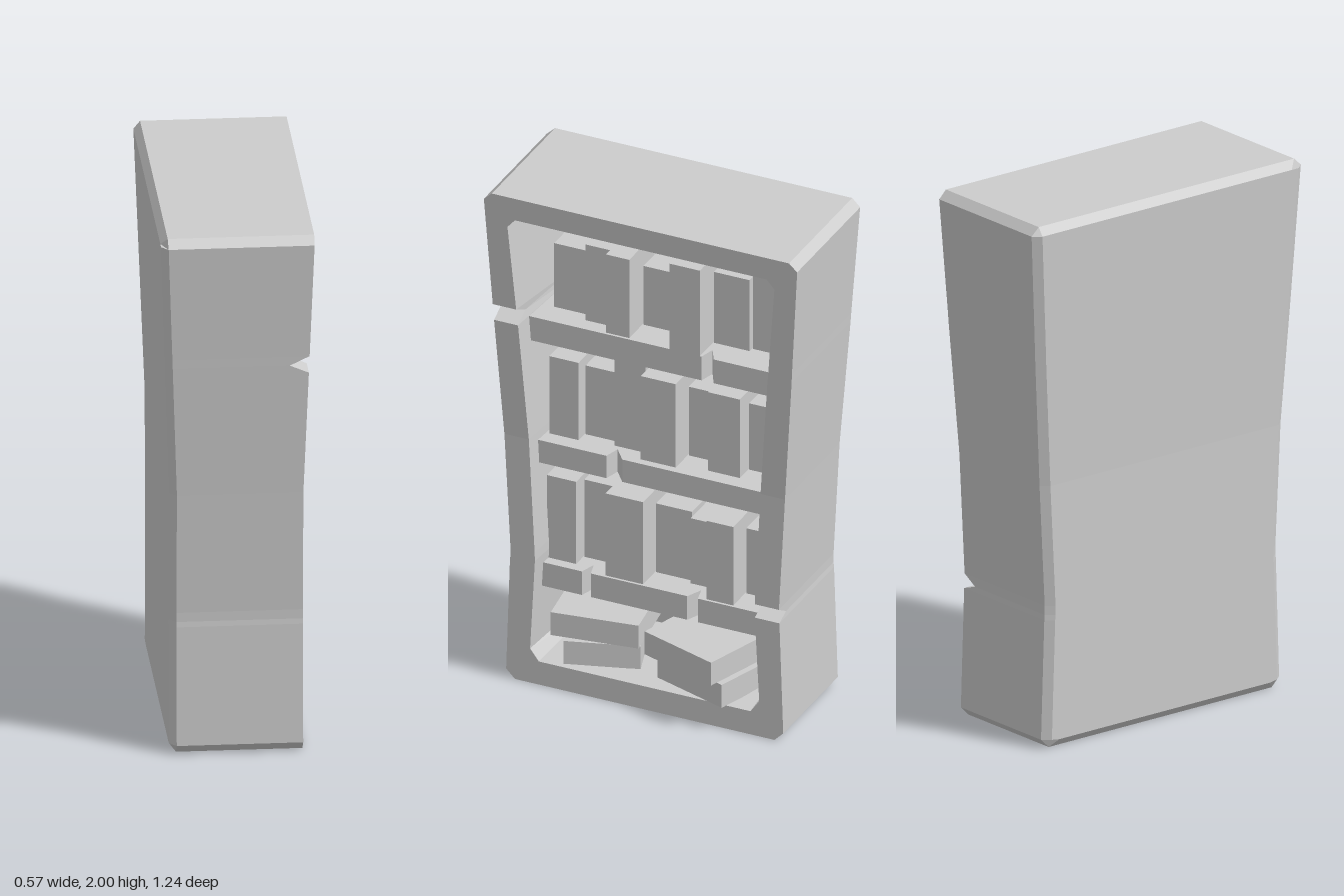
import * as THREE from 'three';

const BACK = -0.18; // x of the inner back panel

// Half outlines (z, y) of the case from bottom to top; both have the same point count
const OUTER = [[0.515, 0], [0.55, 0.035], [0.535, 0.485], [0.533, 0.505], [0.533, 0.54], [0.557, 1],
  [0.59, 1.47], [0.592, 1.5], [0.594, 1.535], [0.622, 1.97], [0.59, 2]];
const INNER = [[0.42, 0.095], [0.455, 0.14], [0.437, 0.485], [0.436, 0.505], [0.437, 0.54], [0.46, 1],
  [0.495, 1.47], [0.498, 1.5], [0.501, 1.535], [0.53, 1.875], [0.5, 1.91]];

// The case flares in depth towards the top
const flare = (y) => Math.max(0, y - 1) * 0.036;
const frontX = (y) => 0.225 + flare(y);
const backX = (y) => -0.255 - flare(y);

// Full loop: up the +z side, down the -z side
function ring(half, xAt) {
  const up = half.map(([z, y], i) => new THREE.Vector3(xAt(y, i, 1), y, z));
  const down = half.map(([z, y], i) => new THREE.Vector3(xAt(y, i, -1), y, -z)).reverse();
  return [...up, ...down];
}

function caseGeometry() {
  const inset = (half, d, low, high) => half.map(([z, y]) => [z - d, THREE.MathUtils.clamp(y, low, high)]);
  // Front rim, with a V-shaped crack in each side
  const rim = (y, i, side) => frontX(y) - (side > 0 && i === 7 ? 0.07 : 0) - (side < 0 && i === 3 ? 0.06 : 0);
  const rings = [
    ring(inset(INNER, 0.025, 0.12, 1.87), () => BACK),
    ring(INNER, rim),
    ring(OUTER, rim),
    ring(OUTER, (y) => backX(y) + 0.025),
    ring(inset(OUTER, 0.03, 0.03, 1.97), backX),
  ];
  const pos = [];
  const quad = (a, b, c, d) => [a, b, c, a, c, d].forEach((p) => pos.push(p.x, p.y, p.z));
  const n = rings[0].length;
  for (let r = 0; r < rings.length - 1; r++) {
    const A = rings[r], B = rings[r + 1];
    for (let i = 0; i < n; i++) {
      const j = (i + 1) % n;
      quad(A[i], A[j], B[j], B[i]);
    }
  }
  // Inner and outer back panels
  const inside = rings[0], outside = rings[rings.length - 1];
  for (let i = 0; i < n / 2 - 1; i++) {
    const k = n - 1 - i;
    quad(inside[i], inside[k], inside[k - 1], inside[i + 1]);
    quad(outside[i], outside[i + 1], outside[k - 1], outside[k]);
  }
  const g = new THREE.BufferGeometry();
  g.setAttribute('position', new THREE.Float32BufferAttribute(pos, 3));
  g.computeVertexNormals();
  return g;
}

// Plank with V cuts in its front edge; each cut is [zHigh, zTip, zLow]
function shelfGeometry(y0, y1, zMax, zMin, cuts) {
  const front = 0.16;
  const pts = [[BACK - 0.01, zMax], [front, zMax]];
  for (const [a, tip, b] of cuts) pts.push([front, a], [front - 0.06, tip], [front, b]);
  pts.push([front, zMin], [BACK - 0.01, zMin]);
  const shape = new THREE.Shape(pts.map(([x, z]) => new THREE.Vector2(x, -z)));
  const g = new THREE.ExtrudeGeometry(shape, { depth: y1 - y0, bevelEnabled: false });
  return g.rotateX(-Math.PI / 2).translate(0, y0, 0);
}

export function createModel() {
  const group = new THREE.Group();
  const grey = new THREE.MeshStandardMaterial({ color: 0xcccccc });
  grey.name = 'plain grey';
  grey.flatShading = true;
  const add = (name, geometry) => {
    const mesh = new THREE.Mesh(geometry, grey);
    mesh.name = name;
    group.add(mesh);
    return mesh;
  };

  add('bookcase', caseGeometry());

  // Shelves
  add('topShelf', shelfGeometry(1.37, 1.468, 0.495, -0.485, [[-0.195, -0.21, -0.243]]));
  add('middleShelf', shelfGeometry(0.875, 0.967, 0.46, -0.455, [[0.183, 0.167, 0.12]]));
  add('lowerShelf', shelfGeometry(0.37, 0.467, 0.44, -0.44, [[0.28, 0.262, 0.245], [-0.138, -0.165, -0.18]]));

  // Standing books: shelf height, then dividing z positions, tops and front x positions
  const rows = [
    { base: 1.465, z: [0.44, 0.297, 0.192, 0.095, -0.065, -0.19, -0.335, -0.44],
      top: [1.73, 1.78, 1.79, 1.71, 1.82, 1.76, 1.785], front: [0.06, 0.1, 0.15, 0.04, 0.16, 0.05, 0.03] },
    { base: 0.964, z: [0.44, 0.32, 0.19, 0.063, -0.08, -0.19, -0.32, -0.42],
      top: [1.285, 1.25, 1.32, 1.31, 1.25, 1.29, 1.24], front: [0.1, 0.05, 0.08, 0.13, 0.03, 0.1, 0.03] },
    { base: 0.464, z: [0.44, 0.32, 0.193, 0.04, -0.107, -0.208, -0.318, -0.44],
      top: [0.805, 0.785, 0.805, 0.75, 0.735, 0.79, 0.735], front: [0.12, 0.06, 0.15, 0.05, 0.07, 0.15, 0.05] },
  ];
  for (const { base, z, top, front } of rows) {
    top.forEach((t, i) => {
      const depth = front[i] - BACK, height = t - base;
      const book = add('standingBook', new THREE.BoxGeometry(depth, height, z[i] - z[i + 1] - 0.004));
      book.position.set((front[i] + BACK) / 2, base + height / 2, (z[i] + z[i + 1]) / 2);
    });
  }

  // Lying books: placed by the front corner nearest the wall and turned about it
  const lying = [
    { x: 0.285, z: -0.292, y: 0.2, length: 0.33, depth: 0.34, turn: 0.32, side: -1 },
    { x: 0.255, z: -0.32, y: 0.1, length: 0.32, depth: 0.34, turn: 0.32, side: -1 },
    { x: 0.2, z: 0.385, y: 0.2, length: 0.33, depth: 0.34, turn: 0.14, side: 1 },
    { x: 0.21, z: 0.33, y: 0.1, length: 0.28, depth: 0.32, turn: 0.3, side: 1 },
  ];
  for (const { x, z, y, length, depth, turn, side } of lying) {
    const g = new THREE.BoxGeometry(depth, 0.094, length);
    g.translate(-depth / 2, 0.047, -side * length / 2);
    const book = add('lyingBook', g);
    book.position.set(x, y, z);
    book.rotation.y = side * turn;
  }
  return group;
}
